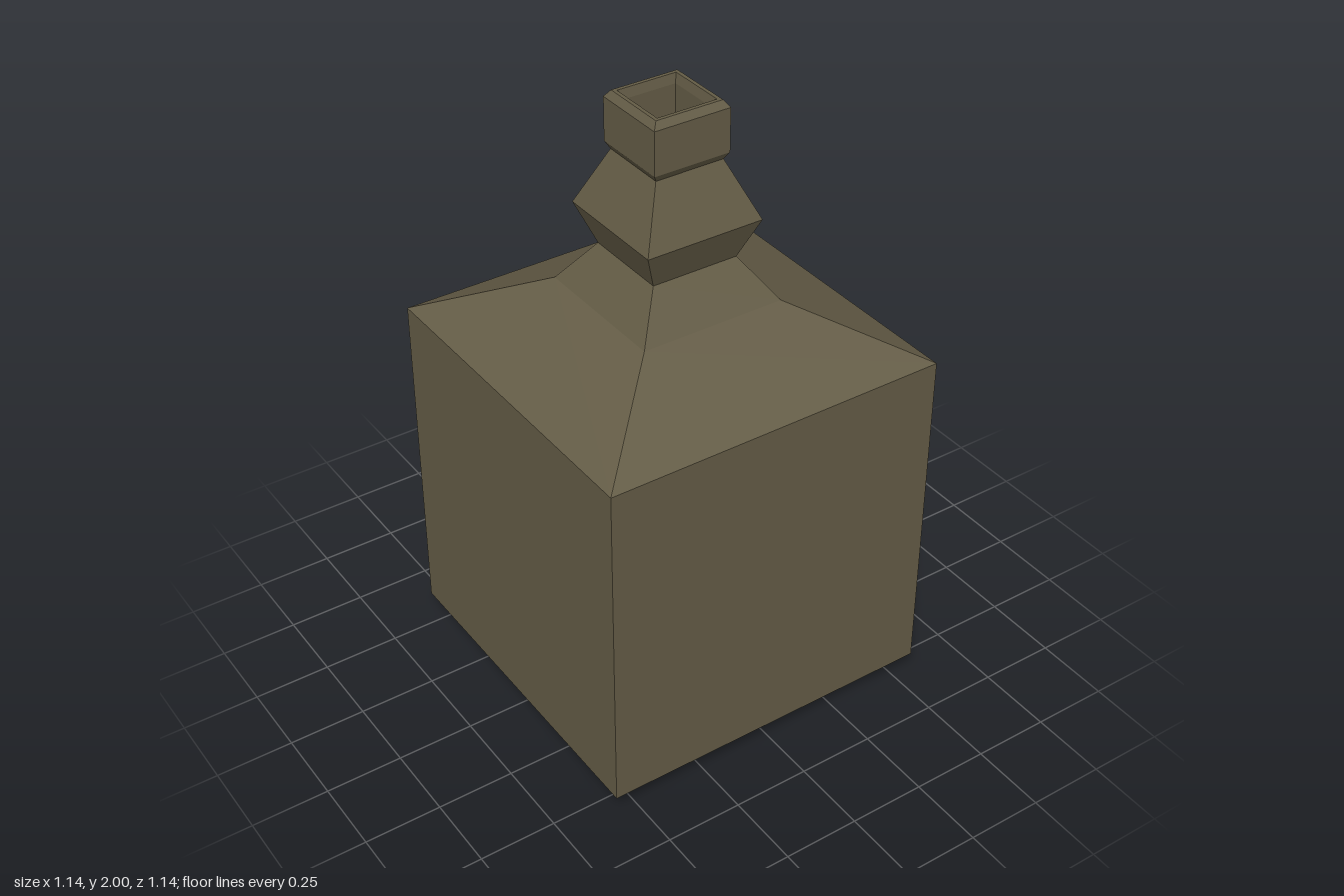
import * as THREE from 'three';

const glass = new THREE.MeshStandardMaterial({ color: 0x645c46, flatShading: true });

// Four-sided lathe; each profile point is [half width, height], listed bottom to top outside
function squareLathe(name, profile) {
  const points = profile.map(([w, y]) => new THREE.Vector2(w * Math.SQRT2, y));
  const mesh = new THREE.Mesh(new THREE.LatheGeometry(points, 4, Math.PI / 4), glass);
  mesh.name = name;
  return mesh;
}

export function createModel() {
  const bottle = new THREE.Group();
  bottle.name = 'squareBottle';
  bottle.add(
    // Flat base with a chamfered edge
    squareLathe('base', [[0, 0], [0.48, 0], [0.57, 0.06]]),
    // Straight walls and sloping shoulders
    squareLathe('body', [[0.57, 0.06], [0.57, 1.2]]),
    squareLathe('shoulder', [[0.57, 1.2], [0.24, 1.365], [0.145, 1.5]]),
    // Bulging neck
    squareLathe('neck', [[0.145, 1.5], [0.197, 1.63], [0.115, 1.815]]),
    // Collar with bevelled edges
    squareLathe('lip', [[0.115, 1.815], [0.128, 1.838], [0.128, 1.978], [0.112, 2], [0.1, 2]]),
    // Recessed opening
    squareLathe('mouth', [[0.1, 2], [0.093, 1.97], [0.093, 1.82], [0, 1.82]]),
  );
  return bottle;
}
